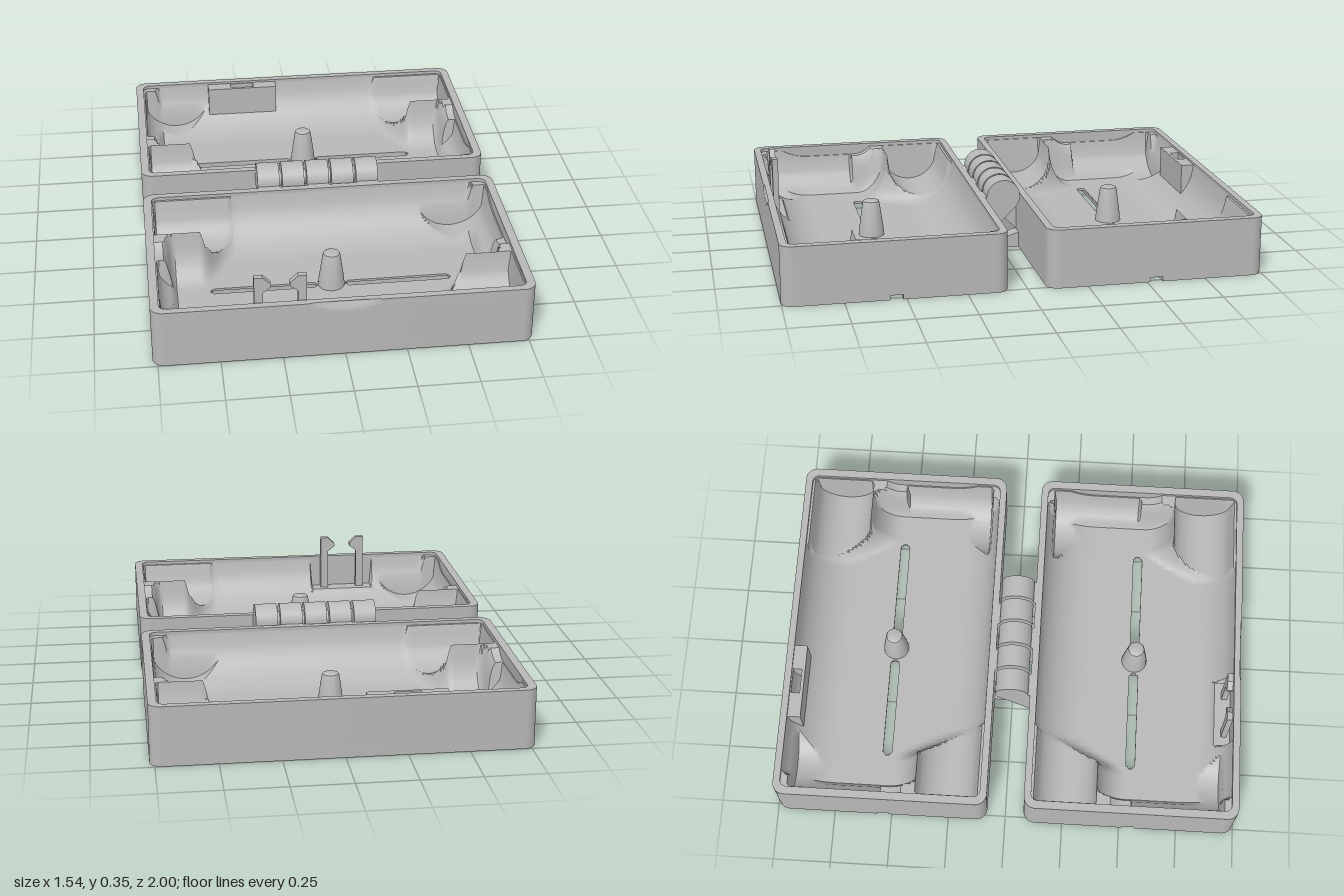
import * as THREE from 'three';
import { toCreasedNormals } from 'three/addons/utils/BufferGeometryUtils.js';

const grey = new THREE.MeshStandardMaterial({ color: 0xb8b8b8 });
grey.name = 'plainGrey';

const HX = 0.77, HZ = 0.46, TOP = 0.25, MID = 0.54; // half sizes of a tray, rim height, tray centre
const FLOOR = 0.032, CAP = 0.235;

function add(parent, name, geometry, x = 0, y = 0, z = 0) {
  const mesh = new THREE.Mesh(geometry, grey);
  mesh.name = name;
  mesh.position.set(x, y, z);
  parent.add(mesh);
  return mesh;
}

// Rounded rectangle; the front edge gets extra points so the thumb notch can bend it
function roundedRect(path, hx, hz, r) {
  path.moveTo(-hx + r, -hz);
  for (let i = -10; i <= 10; i++) path.lineTo(i * 0.015, -hz);
  path.lineTo(hx - r, -hz);
  path.absarc(hx - r, -hz + r, r, -Math.PI / 2, 0);
  path.absarc(hx - r, hz - r, r, 0, Math.PI / 2);
  path.absarc(-hx + r, hz - r, r, Math.PI / 2, Math.PI);
  path.absarc(-hx + r, -hz + r, r, Math.PI, Math.PI * 1.5);
  return path;
}

// Extrude a plan shape upward between two heights
function slab(shape, y0, y1, steps = 1) {
  const g = new THREE.ExtrudeGeometry(shape, { depth: y1 - y0, steps, bevelEnabled: false, curveSegments: 8 });
  return g.rotateX(-Math.PI / 2).translate(0, y0, 0);
}

function wallGeometry(notch) {
  const shape = roundedRect(new THREE.Shape(), HX, HZ, 0.05);
  shape.holes.push(roundedRect(new THREE.Path(), 0.735, 0.43, 0.03));
  const g = slab(shape, 0.03, TOP, 22);
  const p = g.attributes.position;
  if (notch) {
    for (let i = 0; i < p.count; i++) {
      const t = 1 - (p.getX(i) / 0.15) ** 2 - (TOP - p.getY(i)) / 0.04;
      if (p.getZ(i) > HZ - 0.001 && t > 0) p.setZ(i, p.getZ(i) - 0.016 * t);
    }
  }
  return toCreasedNormals(g, 0.5);
}

const arc = (r, d) => Math.sqrt(Math.max(0, r * r - d * d));

// One half of the sculpted liner; the other half is the same turned by 180 degrees
function carve(x, w) {
  let h = CAP;
  // narrow neck channel running along x
  if (x > -0.73 && x < -0.36 && Math.abs(w + 0.28) < 0.13) h = Math.min(h, 0.2 - arc(0.13, w + 0.28));
  // crosswise end pocket
  if (w > -0.4 && w < 0 && Math.abs(x - 0.58) < 0.15) h = Math.min(h, 0.2 - arc(0.155, x - 0.58));
  return h;
}

// Side of the wide central trough, squeezed beside the neck
function troughSide(x, w) {
  const k = 1 - THREE.MathUtils.smoothstep(x, -0.54, -0.38);
  const edge = -0.43 + 0.28 * k, r = 0.22 - 0.09 * k;
  if (w < edge) return CAP;
  return TOP - 0.218 * arc(1, Math.max(0, edge + r - w) / r);
}

function linerHeight(x, w, recess) {
  const ends = THREE.MathUtils.smoothstep(Math.abs(x), 0.65, 0.7) * 0.17;
  const trough = Math.max(troughSide(x, w), troughSide(-x, -w)) + ends;
  let h = Math.min(carve(x, w), carve(-x, -w), trough);
  if (recess && x > -0.41 && x < -0.1 && w > 0.36) h = 0.1;
  return Math.max(h, FLOOR);
}

function linerGeometry(side) {
  const nx = 148, nw = 86, pos = [], index = [];
  for (let i = 0; i <= nx; i++) {
    for (let j = 0; j <= nw; j++) {
      const x = -0.74 + i * 0.01, z = -0.43 + j * 0.01;
      pos.push(x, linerHeight(x, z * side, side > 0), z);
    }
  }
  for (let i = 0; i < nx; i++) {
    for (let j = 0; j < nw; j++) {
      const x = Math.abs(-0.735 + i * 0.01), z = -0.425 + j * 0.01;
      // leave the slots open
      if (Math.hypot(x - THREE.MathUtils.clamp(x, 0.08, 0.49), z) < 0.02) continue;
      const a = i * (nw + 1) + j, b = a + 1, c = a + nw + 1, d = c + 1;
      index.push(a, b, c, b, d, c);
    }
  }
  const g = new THREE.BufferGeometry();
  g.setAttribute('position', new THREE.Float32BufferAttribute(pos, 3));
  g.setIndex(index);
  return toCreasedNormals(g, 0.6);
}

function makeTray(side) {
  const tray = new THREE.Group();
  tray.name = side > 0 ? 'frontTray' : 'backTray';
  tray.position.z = side * MID;
  add(tray, 'walls', wallGeometry(side > 0));
  add(tray, 'liner', linerGeometry(side));

  // floor with two long slots
  const floor = roundedRect(new THREE.Shape(), HX, HZ, 0.05);
  for (const s of [-1, 1]) {
    const slot = new THREE.Path();
    const c = s * 0.285;
    slot.absarc(c + 0.205, 0, 0.02, -Math.PI / 2, Math.PI / 2);
    slot.absarc(c - 0.205, 0, 0.02, Math.PI / 2, Math.PI * 1.5);
    floor.holes.push(slot);
  }
  add(tray, 'floor', toCreasedNormals(slab(floor, 0.02, 0.03), 0.5));

  // underside in two halves, leaving a groove along the middle
  const half = new THREE.Shape();
  half.moveTo(-HX, 0.026).lineTo(HX, 0.026);
  half.absarc(HX - 0.05, HZ - 0.05, 0.05, 0, Math.PI / 2);
  half.absarc(-HX + 0.05, HZ - 0.05, 0.05, Math.PI / 2, Math.PI);
  for (const turn of [0, Math.PI]) {
    add(tray, 'underside', toCreasedNormals(slab(half, 0, 0.02), 0.5)).rotation.y = turn;
  }
  add(tray, 'grooveBridge', new THREE.BoxGeometry(0.12, 0.02, 0.052), 0, 0.01, 0);

  // tapered centre post
  const profile = [[0.057, 0.02], [0.054, 0.06], [0.038, 0.175], [0.034, 0.186], [0.026, 0.19], [0, 0.19]];
  const post = new THREE.LatheGeometry(profile.map(([r, y]) => new THREE.Vector2(r, y)), 32);
  add(tray, 'post', toCreasedNormals(post, 0.6));
  return tray;
}

// Extrude a side profile (distance toward the tray, height) along x, centred on x
function hingePart(parent, name, shape, side, x, width) {
  const g = new THREE.ExtrudeGeometry(shape, { depth: width, bevelEnabled: false, curveSegments: 32 });
  g.translate(0, 0, -width / 2).rotateY(-side * Math.PI / 2);
  add(parent, name, toCreasedNormals(g, 0.5), x, 0, 0);
}

function makeHinge() {
  const hinge = new THREE.Group();
  hinge.name = 'hinge';
  const knuckle = new THREE.Shape();
  knuckle.moveTo(0.082, 0.066).lineTo(0.082, TOP);
  knuckle.absarc(0, TOP, 0.072, 0, Math.PI * 1.25);
  knuckle.closePath();
  const foot = new THREE.Shape([[0.082, 0], [0.025, 0], [0.012, 0.012], [0.012, 0.045], [0.062, 0.062], [0.082, 0.066]]
    .reverse().map(([a, y]) => new THREE.Vector2(a, y)));
  for (let i = -2; i <= 2; i++) {
    hingePart(hinge, 'knuckle', knuckle, i % 2 ? -1 : 1, i * 0.109, 0.097);
  }
  for (const x of [-0.175, 0.175]) {
    for (const side of [-1, 1]) hingePart(hinge, 'foot', foot, side, x, 0.07);
  }
  add(hinge, 'pin', new THREE.CylinderGeometry(0.035, 0.035, 0.5, 24).rotateZ(Math.PI / 2), 0, TOP, 0);
  return hinge;
}

function makeLatch() {
  const latch = new THREE.Group();
  latch.name = 'latch';
  // pair of hooks facing each other
  const outline = [[-0.105, 0.06], [-0.07, 0.06], [-0.07, 0.285], [-0.038, 0.31], [-0.038, 0.325], [-0.07, 0.355], [-0.105, 0.355]];
  for (const s of [-1, 1]) {
    const pts = outline.map(([x, y]) => new THREE.Vector2(-s * x, y));
    const hook = new THREE.ExtrudeGeometry(new THREE.Shape(pts), { depth: 0.025, bevelEnabled: false });
    add(latch, 'hook', hook, -0.255, 0, 0.93);
  }
  // catch block with an opening
  const block = new THREE.Shape();
  block.moveTo(-0.165, -0.032).lineTo(0.165, -0.032).lineTo(0.165, 0.032).lineTo(-0.165, 0.032);
  const opening = new THREE.Path();
  opening.moveTo(-0.055, -0.018).lineTo(-0.055, 0.02).lineTo(0.055, 0.02).lineTo(0.055, -0.018);
  block.holes.push(opening);
  add(latch, 'catchBlock', slab(block, 0.1, 0.24), -0.255, 0, -0.945);
  return latch;
}

export function createModel() {
  const model = new THREE.Group();
  model.name = 'hingedCase';
  model.add(makeTray(1), makeTray(-1), makeHinge(), makeLatch());
  return model;
}
